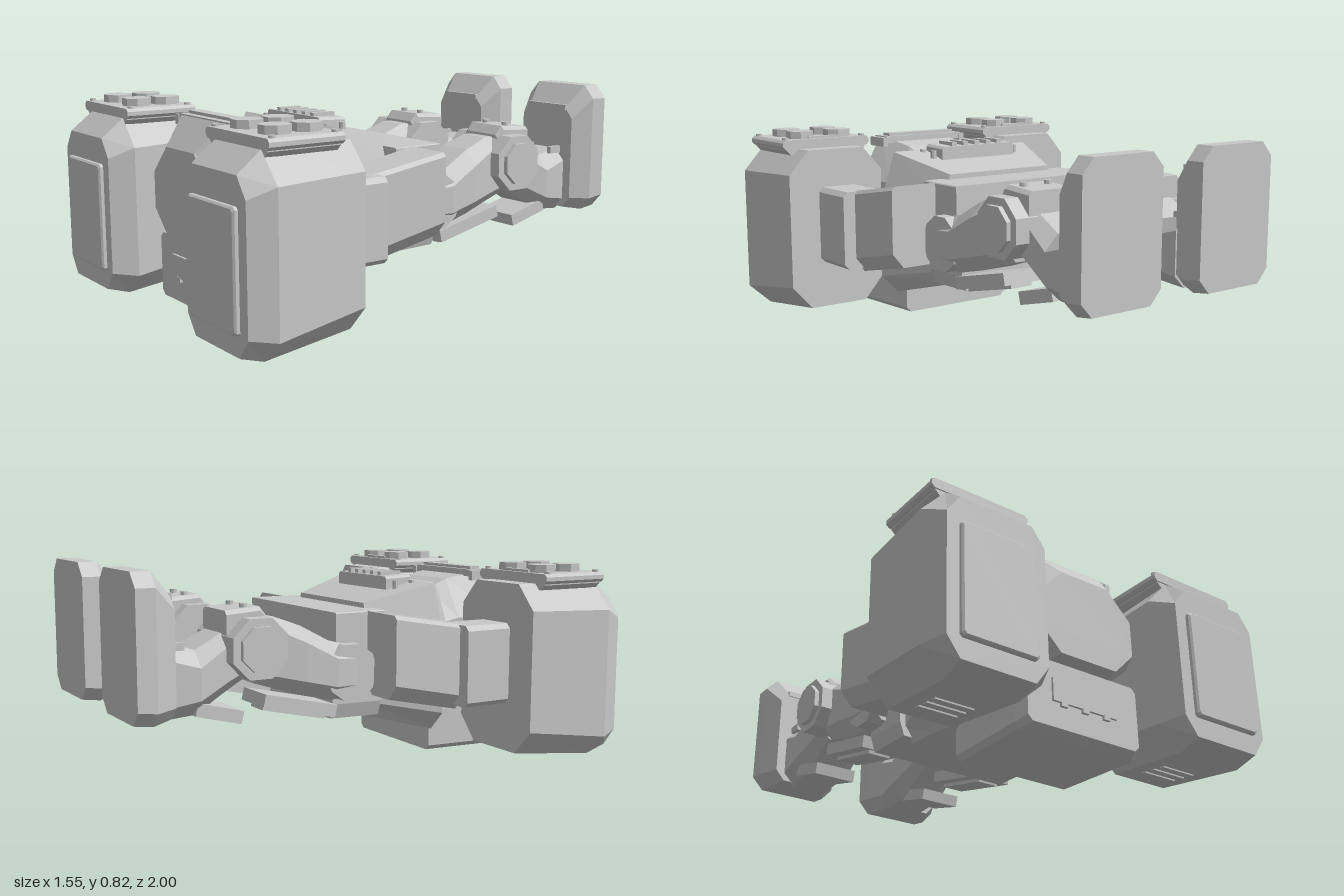
import * as THREE from 'three';

const grey = new THREE.MeshStandardMaterial({ color: 0xc8c8c8, flatShading: true });
grey.name = 'plain grey';

// Chamfered block through sections along z, listed back to front.
// Section: [z, halfWidth, yBottom, yTop, topChamferX, topChamferY, bottomChamferX, bottomChamferY]
function loft(cx, sections) {
  const rings = sections.map(([z, w, y0, y1, tx = 0.03, ty = tx, bx = tx, by = ty]) => [
    [w, y0 + by], [w, y1 - ty], [w - tx, y1], [-w + tx, y1],
    [-w, y1 - ty], [-w, y0 + by], [-w + bx, y0], [w - bx, y0],
  ].map(([x, y]) => [cx + x, y, z]));
  const pos = [];
  const tri = (...pts) => pts.forEach((p) => pos.push(...p));
  for (let k = 0; k + 1 < rings.length; k++) {
    const a = rings[k], b = rings[k + 1];
    for (let i = 0; i < 8; i++) {
      const j = (i + 1) % 8;
      tri(a[i], a[j], b[j]);
      tri(a[i], b[j], b[i]);
    }
  }
  const back = rings[0], front = rings[rings.length - 1];
  for (let i = 1; i < 7; i++) {
    tri(back[0], back[i + 1], back[i]);
    tri(front[0], front[i], front[i + 1]);
  }
  const g = new THREE.BufferGeometry();
  g.setAttribute('position', new THREE.Float32BufferAttribute(pos, 3));
  g.computeVertexNormals();
  return g;
}

export function createModel() {
  const model = new THREE.Group();
  model.name = 'proneRobot';
  const add = (parent, name, geo, x = 0, y = 0, z = 0) => {
    const m = new THREE.Mesh(geo, grey);
    m.name = name;
    m.position.set(x, y, z);
    parent.add(m);
    return m;
  };
  const box = (parent, name, w, h, d, x, y, z) =>
    add(parent, name, new THREE.BoxGeometry(w, h, d), x, y, z);
  const disc = (parent, name, r, h, x, y, z, sides = 8) =>
    add(parent, name, new THREE.CylinderGeometry(r, r, h, sides).rotateY(Math.PI / sides), x, y, z);
  const group = (name) => {
    const g = new THREE.Group();
    g.name = name;
    model.add(g);
    return g;
  };

  // Head: faceted crown, chin block and rear crest
  const head = group('head');
  add(head, 'crown', loft(0, [
    [0.45, 0.23, 0.3, 0.68, 0.1, 0.14],
    [0.54, 0.24, 0.29, 0.72, 0.1, 0.16],
    [0.73, 0.28, 0.28, 0.755, 0.11, 0.19, 0.13, 0.11],
    [0.83, 0.22, 0.3, 0.645, 0.11, 0.11, 0.09, 0.09],
  ]));
  add(head, 'chin', loft(0, [
    [0.37, 0.27, 0.005, 0.28, 0.02],
    [0.74, 0.285, 0, 0.3, 0.02],
    [0.79, 0.26, 0.02, 0.28, 0.02],
  ]));
  box(head, 'chinPanel', 0.3, 0.09, 0.016, 0, 0.165, 0.792);
  for (const x of [-0.1, 0, 0.1]) box(head, 'chinTab', 0.03, 0.02, 0.016, x, 0.115, 0.794);
  box(head, 'crestBase', 0.4, 0.03, 0.1, 0, 0.745, 0.675);
  box(head, 'crestBar', 0.35, 0.02, 0.05, 0, 0.762, 0.67);
  for (const s of [-1, 1]) box(head, 'crestBracket', 0.025, 0.04, 0.11, s * 0.21, 0.735, 0.675);
  add(head, 'neck', loft(0, [[0.36, 0.13, 0.25, 0.68, 0.03], [0.43, 0.16, 0.25, 0.705, 0.04], [0.54, 0.15, 0.25, 0.705, 0.06]]));

  // Torso: wedge chest, raised vent panel and pelvis
  const torso = group('torso');
  add(torso, 'chest', loft(0, [
    [0.045, 0.3, 0.19, 0.65, 0.04, 0.12, 0.04, 0.06],
    [0.33, 0.42, 0.117, 0.725, 0.07, 0.22, 0.08, 0.08],
    [0.37, 0.39, 0.13, 0.69, 0.07, 0.2, 0.08, 0.08],
    [0.46, 0.29, 0.18, 0.58, 0.06, 0.1, 0.06, 0.06],
  ]));
  add(torso, 'ventPanel', loft(0, [[0.2, 0.19, 0.66, 0.745, 0.01], [0.32, 0.19, 0.66, 0.75, 0.01]]));
  for (let i = -2; i <= 2; i++) box(torso, 'ventBar', 0.025, 0.02, 0.1, i * 0.06, 0.752, 0.26);
  for (const x of [-0.215, 0.215]) for (const z of [0.23, 0.31]) disc(torso, 'chestBolt', 0.013, 0.05, x, 0.705, z);
  add(torso, 'pelvis', loft(0, [[-0.145, 0.365, 0.35, 0.63, 0.004], [0.08, 0.365, 0.35, 0.63, 0.004]]));
  add(torso, 'lowerPelvis', loft(0, [[-0.145, 0.34, 0.205, 0.4, 0.02, 0.02, 0.02, 0.06], [0.08, 0.34, 0.2, 0.4, 0.02, 0.02, 0.02, 0.06]]));

  for (const s of [-1, 1]) {
    const side = s > 0 ? 'left' : 'right';

    // Arm reaching forward, ending in a large fist
    const arm = group(side + 'Arm');
    add(arm, 'upperArm', loft(s * 0.46, [
      [0, 0.11, 0.3, 0.63, 0.015, 0.015, 0.05, 0.06],
      [0.33, 0.095, 0.23, 0.575, 0.015, 0.015, 0.05, 0.06],
    ]));
    add(arm, 'wrist', loft(s * 0.515, [[0.31, 0.095, 0.25, 0.575, 0.02], [0.53, 0.095, 0.25, 0.575, 0.02]]));
    const fx = s * 0.525;
    add(arm, 'fist', loft(fx, [
      [0.515, 0.222, 0.055, 0.735, 0.09, 0.1],
      [0.885, 0.25, 0.015, 0.735, 0.1, 0.11, 0.1, 0.09],
      [0.98, 0.207, 0.045, 0.66, 0.055, 0.075],
    ]));
    add(arm, 'knucklePlate', loft(fx, [[0.975, 0.157, 0.123, 0.557, 0.01], [0.993, 0.157, 0.123, 0.557, 0.01], [1, 0.15, 0.13, 0.55, 0.01]]));
    for (const z of [0.62, 0.67, 0.72]) {
      box(arm, 'fistSlot', 0.16, 0.012, 0.02, fx, 0.055 - (z - 0.515) * 0.108, z).rotation.x = 0.108;
    }
    // Pod plate with four round caps on the fist
    add(arm, 'podBase', loft(fx, [[0.595, 0.19, 0.71, 0.755, 0.02], [0.885, 0.19, 0.71, 0.755, 0.02]]));
    add(arm, 'podPlate', loft(fx, [[0.59, 0.208, 0.735, 0.775, 0.012], [0.89, 0.208, 0.735, 0.775, 0.012]]));
    box(arm, 'podLatch', 0.16, 0.02, 0.02, fx, 0.775, 0.615);
    for (const dx of [-0.09, 0.09]) {
      for (const z of [0.667, 0.794]) disc(arm, 'podCap', 0.058, 0.04, fx + dx, 0.786, z);
    }
    for (const dx of [-0.185, 0.185]) {
      for (const z of [0.615, 0.865]) disc(arm, 'podBolt', 0.013, 0.016, fx + dx, 0.776, z);
    }

    // Leg stretched backward
    const leg = group(side + 'Leg');
    const lx = s * 0.28;
    const hip = add(leg, 'hip', new THREE.CylinderGeometry(0.115, 0.115, 0.27, 10), lx, 0.4, -0.1);
    hip.rotation.z = Math.PI / 2;
    add(leg, 'thigh', loft(lx, [
      [-0.49, 0.1, 0.38, 0.63, 0.04],
      [-0.41, 0.115, 0.355, 0.63, 0.05],
      [-0.3, 0.135, 0.32, 0.59, 0.06],
      [-0.17, 0.145, 0.29, 0.52, 0.06],
      [-0.03, 0.13, 0.3, 0.5, 0.05],
    ]));
    box(leg, 'thighPlate', 0.19, 0.05, 0.32, lx, 0.28, -0.305).rotation.x = 0.22;
    box(leg, 'thighPlateRidge', 0.1, 0.02, 0.28, lx, 0.25, -0.31).rotation.x = 0.22;

    // Eight-sided knee with bolted cap
    const knee = (name, r, w, x) => add(leg, name,
      new THREE.CylinderGeometry(r, r, w, 8).rotateY(Math.PI / 8).rotateZ(Math.PI / 2), x, 0.525, -0.51);
    knee('knee', 0.122, 0.32, s * 0.287);
    knee('kneeHub', 0.09, 0.03, s * 0.452);
    add(leg, 'kneeCap', loft(lx, [
      [-0.62, 0.105, 0.56, 0.665, 0.015],
      [-0.48, 0.105, 0.56, 0.675, 0.015],
      [-0.45, 0.1, 0.56, 0.64, 0.015],
    ]));
    for (const dx of [-0.058, 0.058]) disc(leg, 'kneeBolt', 0.015, 0.02, lx + dx, 0.676, -0.53);

    add(leg, 'calf', loft(s * 0.26, [
      [-0.85, 0.13, 0.275, 0.55, 0.05],
      [-0.73, 0.143, 0.285, 0.525, 0.06],
      [-0.62, 0.125, 0.35, 0.58, 0.05],
      [-0.53, 0.11, 0.4, 0.61, 0.04],
    ]));
    for (const dx of [-0.08, 0.08]) box(leg, 'calfRib', 0.02, 0.03, 0.06, s * 0.28 + dx, 0.545, -0.81);
    box(leg, 'calfPlate', 0.19, 0.05, 0.19, lx, 0.285, -0.645).rotation.x = 0.25;

    // Foot with the sole facing back
    const foot = s * 0.287;
    add(leg, 'foot', loft(foot, [
      [-1, 0.187, 0.285, 0.825, 0.05, 0.055],
      [-0.925, 0.187, 0.275, 0.825, 0.05, 0.055],
      [-0.84, 0.145, 0.29, 0.73, 0.04, 0.045],
    ]));
    box(leg, 'toeBar', 0.22, 0.025, 0.03, foot, 0.73, -0.85);
  }
  return model;
}
